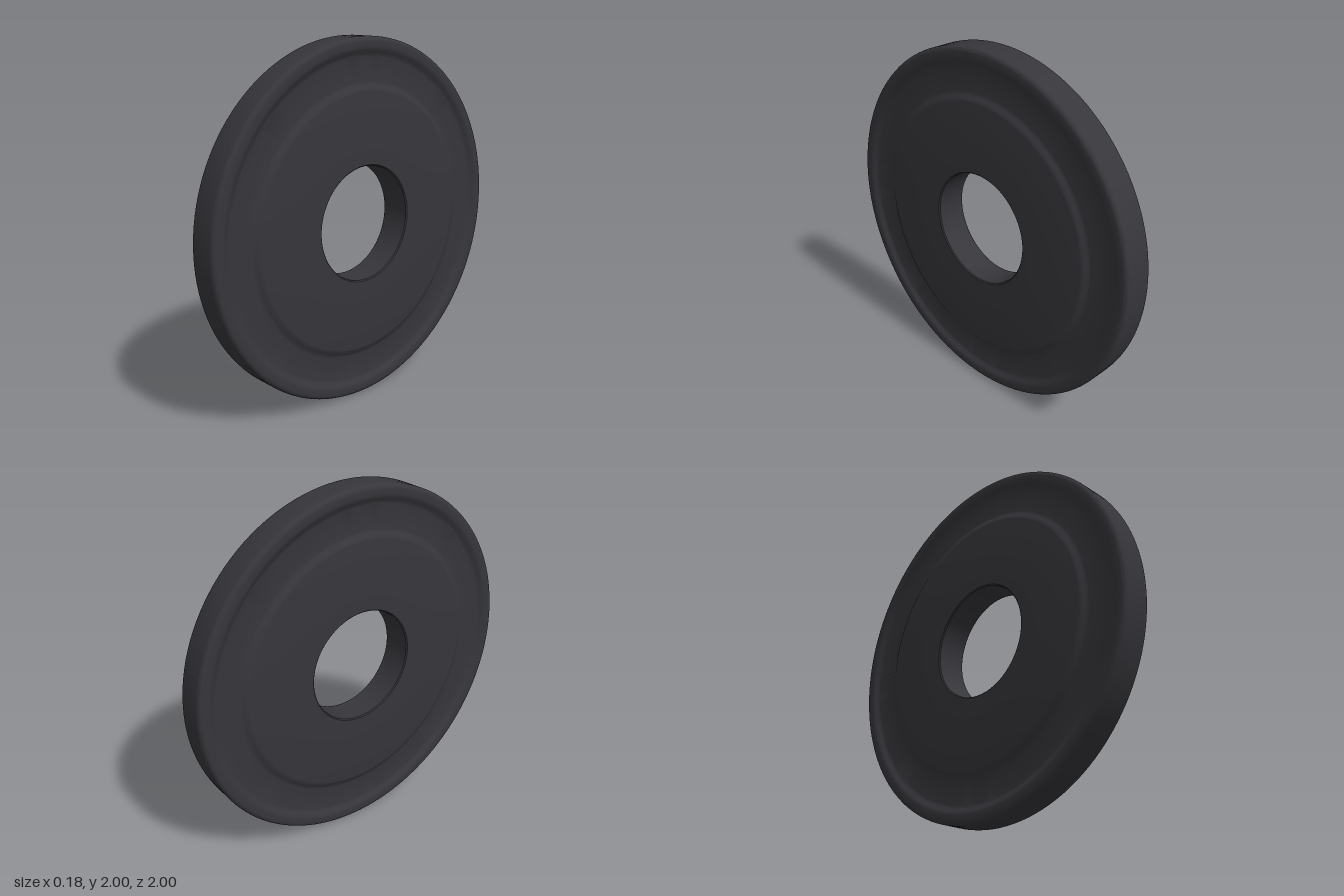
import * as THREE from 'three';
import { toCreasedNormals } from 'three/addons/utils/BufferGeometryUtils.js';

const HALF = 0.09;    // half thickness
const DEPTH = 0.02;   // depth of the ring-shaped recess on each face
const EDGE = 0.025;   // rounding of the outer rim
const BORE = 0.32;    // radius of the central hole

// One face of the disc as [radius, height], from the outer rim to the bore
function faceProfile() {
  const p = [];
  for (let i = 0; i <= 5; i++) {
    const a = (i / 5) * Math.PI / 2;
    p.push([1 - EDGE + EDGE * Math.cos(a), HALF - EDGE + EDGE * Math.sin(a)]);
  }
  // Soft steps down into the recess and back up to the hub
  const step = (r0, r1, h0, h1) => {
    for (let i = 0; i <= 6; i++) {
      const t = i / 6, s = t * t * (3 - 2 * t);
      p.push([r0 + (r1 - r0) * t, h0 + (h1 - h0) * s]);
    }
  };
  step(0.945, 0.895, HALF, HALF - DEPTH);
  step(0.765, 0.715, HALF - DEPTH, HALF);
  p.push([BORE + 0.006, HALF], [BORE, HALF - 0.006]);
  return p;
}

export function createModel() {
  const group = new THREE.Group();
  const iron = new THREE.MeshStandardMaterial({ color: 0x36363b });
  iron.name = 'dark iron';

  // Closed cross-section: one face, then its mirror image, back to the start
  const face = faceProfile();
  const mirror = face.map(([r, h]) => [r, -h]).reverse();
  const points = [...face, ...mirror, face[0]].map(([r, h]) => new THREE.Vector2(r, h));

  const geometry = toCreasedNormals(new THREE.LatheGeometry(points, 128), 0.65);
  geometry.rotateZ(-Math.PI / 2);

  const plate = new THREE.Mesh(geometry, iron);
  plate.name = 'weightPlate';
  plate.position.y = 1;
  group.add(plate);
  return group;
}
